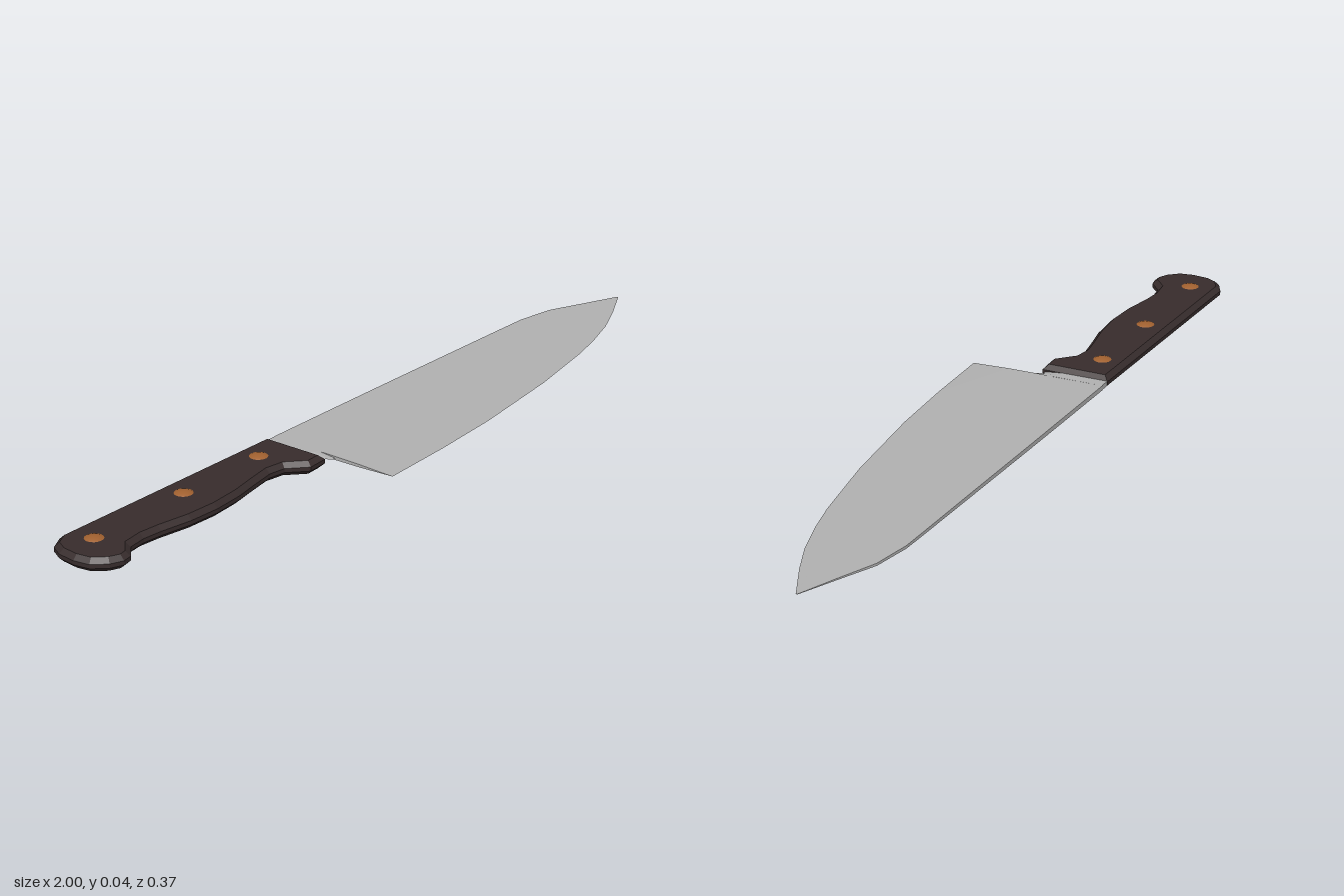
import * as THREE from 'three';

const MID = 0.022; // height of the knife's centre plane

const steel = new THREE.MeshStandardMaterial({ color: 0xb0b0b0 });
steel.name = 'steel';
const wood = new THREE.MeshStandardMaterial({ color: 0x372c2c });
wood.name = 'dark wood';
const copper = new THREE.MeshStandardMaterial({ color: 0xa0602f });
copper.name = 'copper';

// Lofts wedge sections along x: [x, spine z, edge z, half thickness at spine, half thickness at edge]
function loftBlade(stations) {
  const pos = [], idx = [], n = 5, last = stations.length - 1;
  for (const [x, z0, z1, h, e] of stations) {
    const zm = z0 + (z1 - z0) * 0.72, m = h * 0.6 + e * 0.4;
    pos.push(x, MID + h, z0, x, MID + m, zm, x, MID + e, z1);
    pos.push(x, MID - m, zm, x, MID - h, z0);
    if (e > 0) pos[pos.length - 8] = MID; // blunt sections keep a rounded lower edge
  }
  for (let i = 0; i < last; i++) {
    for (let j = 0; j < n; j++) {
      const a = i * n + j, d = i * n + (j + 1) % n;
      idx.push(a, d, d + n, a, d + n, a + n);
    }
  }
  for (let j = 1; j < n - 1; j++) {
    idx.push(0, j + 1, j);
    idx.push(last * n, last * n + j, last * n + j + 1);
  }
  const g = new THREE.BufferGeometry();
  g.setAttribute('position', new THREE.Float32BufferAttribute(pos, 3));
  g.setIndex(idx);
  const flat = g.toNonIndexed();
  flat.computeVertexNormals();
  return flat;
}

function add(group, name, geometry, material) {
  const mesh = new THREE.Mesh(geometry, material);
  mesh.name = name;
  group.add(mesh);
  return mesh;
}

export function createModel() {
  const knife = new THREE.Group();
  knife.name = 'chefKnife';

  // Blade: straight spine that drops to the tip, curved cutting edge
  add(knife, 'blade', loftBlade([
    [-0.245, -0.165, 0.18, 0.006, 0],
    [-0.05, -0.16, 0.177, 0.0058, 0],
    [0.14, -0.155, 0.168, 0.0054, 0],
    [0.41, -0.147, 0.14, 0.0048, 0],
    [0.62, -0.141, 0.105, 0.004, 0],
    [0.71, -0.138, 0.084, 0.0036, 0],
    [0.81, -0.12, 0.054, 0.003, 0],
    [0.9, -0.08, 0.016, 0.002, 0],
    [1.0, -0.037, -0.033, 0.0005, 0],
  ]), steel);

  // Short neck joining the blade to the handle
  add(knife, 'neck', loftBlade([
    [-0.3, -0.164, 0.0, 0.006, 0.004],
    [-0.262, -0.164, 0.0, 0.006, 0.004],
    [-0.256, -0.164, 0.015, 0.006, 0.004],
    [-0.243, -0.164, 0.015, 0.006, 0.004],
  ]), steel);

  // Handle: outline in x and z with chamfered rims
  const outline = [
    [-0.272, -0.165], [-0.272, 0.007], [-0.325, 0.009], [-0.368, -0.033],
    [-0.41, -0.041], [-0.47, -0.032], [-0.54, -0.02], [-0.62, -0.015],
    [-0.7, -0.021], [-0.78, -0.037], [-0.83, -0.043], [-0.877, -0.038],
    [-0.91, -0.008], [-0.935, -0.004], [-0.965, -0.018], [-0.993, -0.05],
    [-1.0, -0.09], [-0.995, -0.135], [-0.978, -0.167], [-0.94, -0.186],
  ];
  const shape = new THREE.Shape(outline.map(([x, z]) => new THREE.Vector2(x, z)));
  const depth = 0.01;
  const handle = new THREE.ExtrudeGeometry(shape, {
    depth, bevelThickness: 0.0115, bevelSize: 0.012, bevelOffset: -0.012, bevelSegments: 1,
  });
  handle.rotateX(Math.PI / 2).translate(0, MID + depth / 2, 0);
  add(knife, 'handle', handle, wood);

  // Rivets: flattened domes that show on both faces
  const rivets = new THREE.Group();
  rivets.name = 'rivets';
  knife.add(rivets);
  for (const [x, z] of [[-0.909, -0.114], [-0.621, -0.113], [-0.369, -0.108]]) {
    const rivet = add(rivets, 'rivet', new THREE.SphereGeometry(0.034, 16, 16), copper);
    rivet.scale.y = MID / 0.034;
    rivet.position.set(x, MID, z);
  }
  return knife;
}
